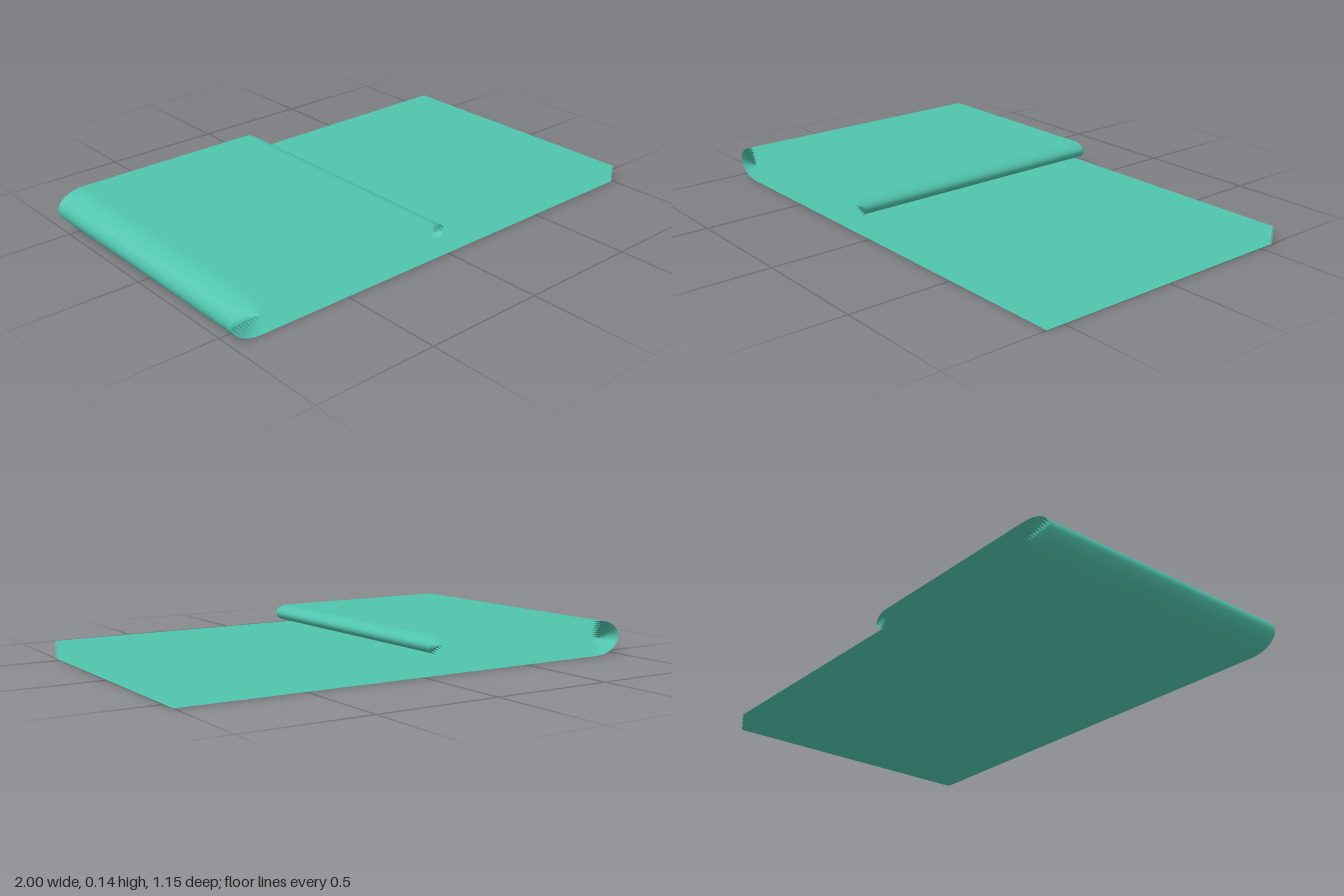
import * as THREE from 'three';

const HALF_WIDTH = 0.575;  // half the cloth width, along z
const HEIGHT = 0.145;      // full height of the folded pile
const LAYERS = 10;         // sheets in the base stack
const GAP = HEIGHT / (2 * LAYERS - 1);

// Points on an elliptical arc, angles in degrees
function arc(cx, cy, rx, ry, from, to, steps = 24) {
  return Array.from({ length: steps + 1 }, (_, i) => {
    const a = THREE.MathUtils.degToRad(from + (to - from) * i / steps);
    return [cx + rx * Math.cos(a), cy + ry * Math.sin(a)];
  });
}

// Big fold at the left end, from the base up into the flap
function bigFold(layer, from, to) {
  const ry = HEIGHT / 2 - layer * GAP;
  return arc(-0.88, HEIGHT / 2, ry * 0.12 / (HEIGHT / 2), ry, from, to);
}

// Small fold at the free end of the flap
function flapFold(layer) {
  const middle = (LAYERS - 1) / 2;
  const ry = (middle - layer) * GAP;
  return arc(-0.09, HEIGHT - middle * GAP, 0.06 * (middle - layer) / middle, ry, 90, -90);
}

// Sweep a profile in x, y across the width of the cloth
function sheet(points) {
  const n = points.length;
  const geometry = new THREE.PlaneGeometry(1, 1, n - 1, 1);
  const pos = geometry.attributes.position;
  for (let i = 0; i < pos.count; i++) {
    const [x, y] = points[i % n];
    pos.setXYZ(i, x, y, i < n ? -HALF_WIDTH : HALF_WIDTH);
  }
  geometry.computeVertexNormals();
  return geometry;
}

export function createModel() {
  const group = new THREE.Group();
  group.name = 'foldedCloth';
  const material = new THREE.MeshStandardMaterial({ color: 0x4fc3ac, side: THREE.DoubleSide });

  // Each sheet runs out along the base, over the flap, and back inside itself
  for (let i = 0; i < LAYERS / 2; i++) {
    const inner = LAYERS - 1 - i;
    const points = [
      [1, i * GAP],
      ...bigFold(i, 270, 90),
      ...flapFold(i),
      ...bigFold(inner, 90, 270),
      [1, inner * GAP],
    ];
    const mesh = new THREE.Mesh(sheet(points), material);
    mesh.name = `clothLayer${i + 1}`;
    group.add(mesh);
  }
  return group;
}
